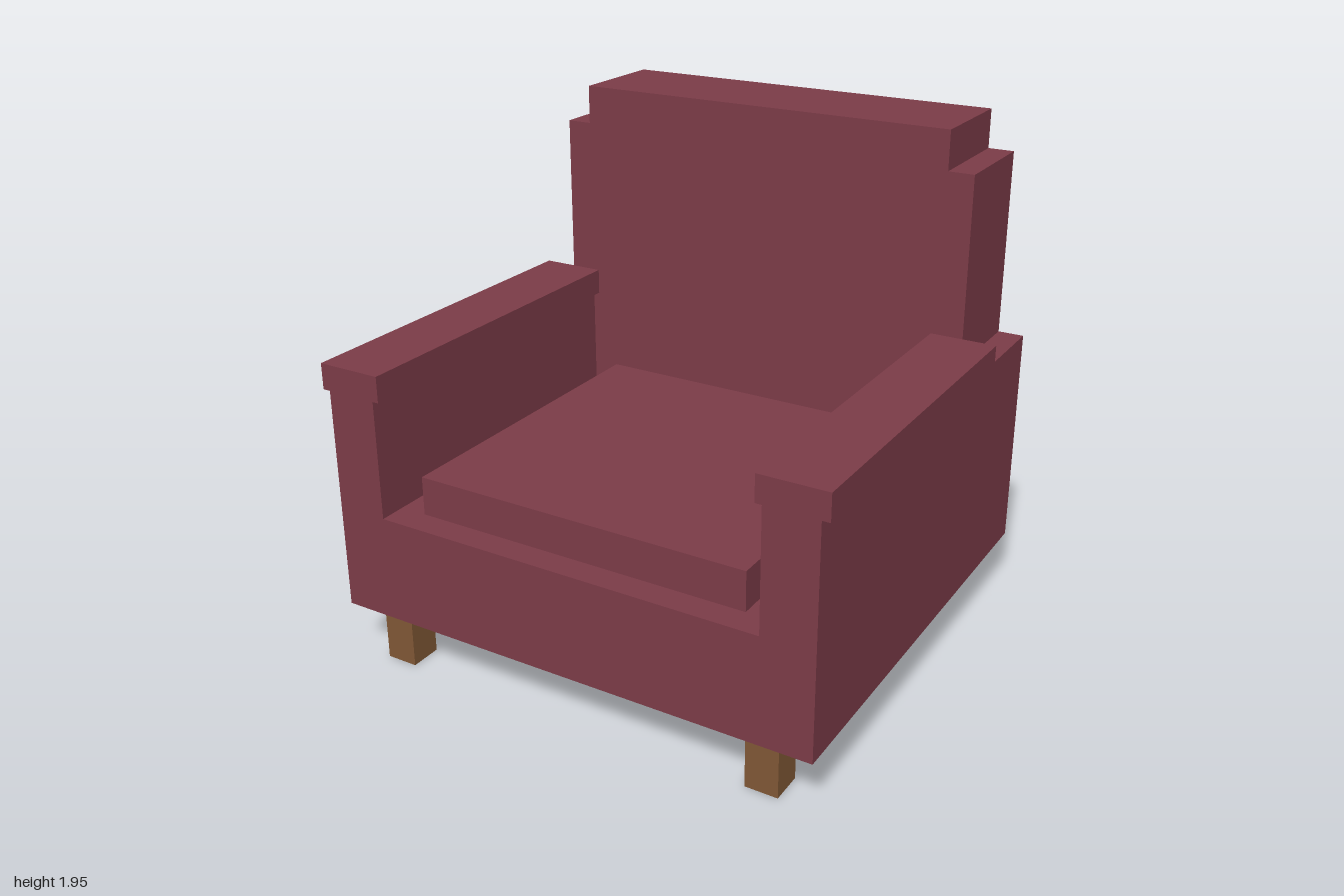
import * as THREE from 'three';

const upholstery = new THREE.MeshStandardMaterial({ color: 0x7b3b47 });
upholstery.name = 'burgundy upholstery';
const wood = new THREE.MeshStandardMaterial({ color: 0x7f5735 });
wood.name = 'brown wood';

const BACK = -0.895, FRONT = 0.895, BACKREST = -0.485;

// Box given by its lower and upper limits on each axis
function box(name, material, [x0, x1], [y0, y1], [z0, z1]) {
  const mesh = new THREE.Mesh(new THREE.BoxGeometry(x1 - x0, y1 - y0, z1 - z0), material);
  mesh.position.set((x0 + x1) / 2, (y0 + y1) / 2, (z0 + z1) / 2);
  mesh.name = name;
  return mesh;
}

// Extrudes a symmetric front profile, given by its +x half from bottom to top
function symmetricSlab(name, half, z0, z1) {
  const left = half.map(([x, y]) => new THREE.Vector2(x, y));
  const right = half.map(([x, y]) => new THREE.Vector2(-x, y)).reverse();
  const geometry = new THREE.ExtrudeGeometry(new THREE.Shape([...left, ...right]), {
    depth: z1 - z0, bevelEnabled: false,
  });
  const mesh = new THREE.Mesh(geometry, upholstery);
  mesh.position.z = z0;
  mesh.name = name;
  return mesh;
}

export function createModel() {
  const chair = new THREE.Group();
  chair.name = 'armchair';

  // Seat base and both arms as one U-shaped body
  chair.add(symmetricSlab('baseAndArms',
    [[0.97, 0.21], [0.97, 1.08], [0.77, 1.08], [0.77, 0.62]], BACK, FRONT));

  // Stepped backrest, widening above the arms
  chair.add(symmetricSlab('backrest',
    [[0.77, 0.62], [0.77, 1.08], [0.87, 1.08], [0.87, 1.8], [0.77, 1.8], [0.77, 1.95]],
    BACK, BACKREST));

  // Loose seat cushion, set back from the front edge
  chair.add(box('seatCushion', upholstery, [-0.665, 0.665], [0.62, 0.77], [BACKREST, 0.79]));

  for (const side of [-1, 1]) {
    const span = (a, b) => (side > 0 ? [a, b] : [-b, -a]);
    const label = side > 0 ? 'left' : 'right';

    // Overhanging arm pads
    chair.add(box(label + 'ArmPad', upholstery, span(0.745, 1), [1.08, 1.18], [BACKREST, FRONT]));

    // Square legs
    chair.add(box(label + 'FrontLeg', wood, span(0.708, 0.833), [0, 0.21], [0.735, 0.86]));
    chair.add(box(label + 'BackLeg', wood, span(0.708, 0.833), [0, 0.21], [-0.805, -0.68]));
  }
  return chair;
}
